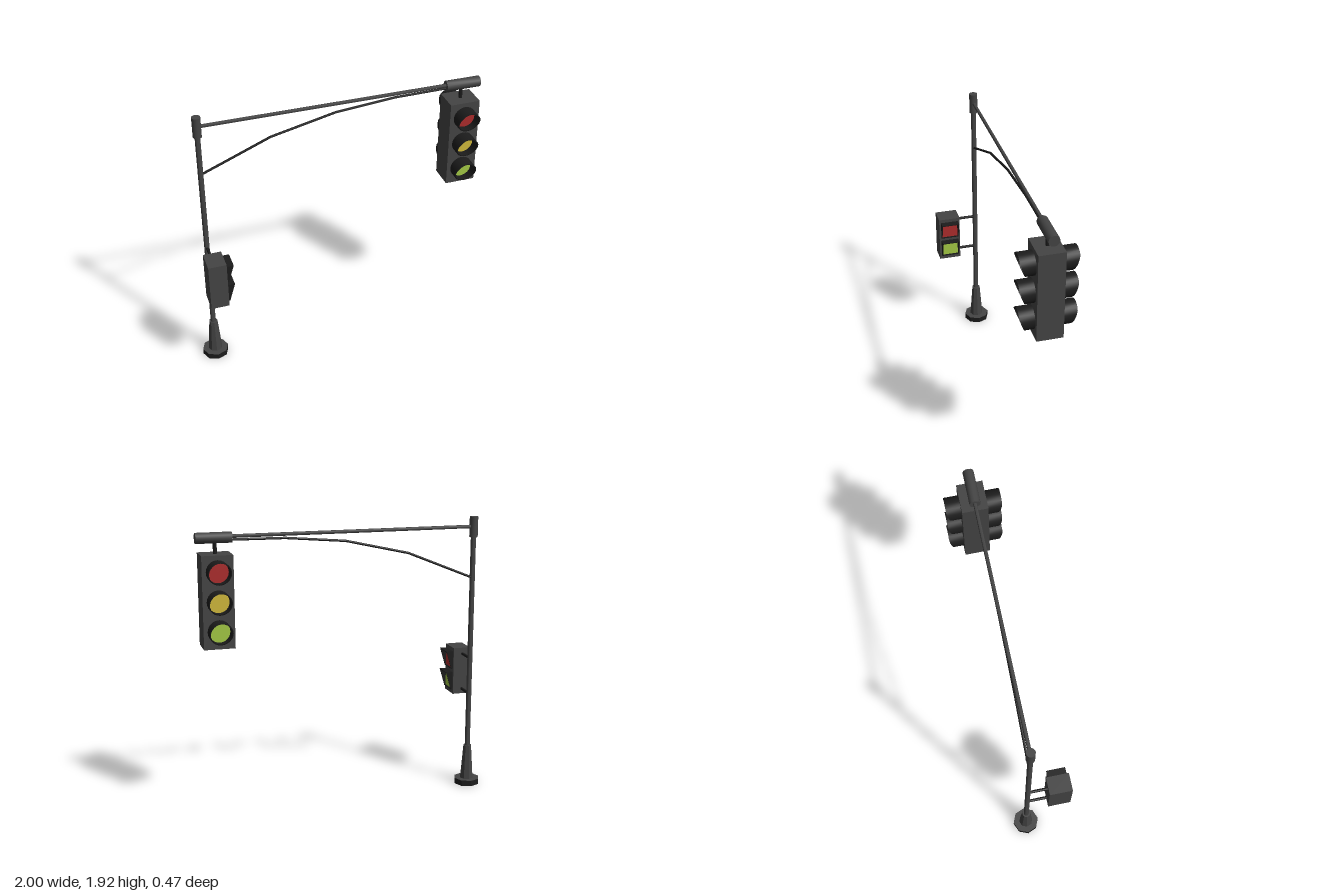
import * as THREE from 'three';
import { toCreasedNormals } from 'three/addons/utils/BufferGeometryUtils.js';

const mat = (name, color) => {
  const m = new THREE.MeshStandardMaterial({ color });
  m.name = name;
  return m;
};

export function createModel() {
  const grey = mat('metal grey', 0x444444);
  const black = mat('visor black', 0x1c1c1c);
  const red = mat('lamp red', 0xac2c2c);
  const yellow = mat('lamp yellow', 0xcfb83a);
  const green = mat('lamp green', 0xa2c844);

  const model = new THREE.Group();
  model.name = 'trafficLight';
  const PX = -0.91, PZ = -0.053; // pole axis

  function add(parent, name, geometry, material, x = 0, y = 0, z = 0) {
    const mesh = new THREE.Mesh(geometry, material);
    mesh.name = name;
    mesh.position.set(x, y, z);
    parent.add(mesh);
    return mesh;
  }

  // Upright round section of the post between two heights
  function post(name, y0, y1, rBottom, rTop, material, sides = 12, x = PX) {
    const g = toCreasedNormals(new THREE.CylinderGeometry(rTop, rBottom, y1 - y0, sides), 0.6);
    return add(model, name, g, material, x, (y0 + y1) / 2, PZ);
  }

  // Round bar between two points
  function rod(name, a, b, r, material, sides = 8) {
    const from = new THREE.Vector3(...a), to = new THREE.Vector3(...b);
    const g = toCreasedNormals(new THREE.CylinderGeometry(r, r, from.distanceTo(to), sides), 1);
    const mesh = add(model, name, g, material);
    mesh.position.copy(from).add(to).multiplyScalar(0.5);
    mesh.quaternion.setFromUnitVectors(new THREE.Vector3(0, 1, 0), to.sub(from).normalize());
    return mesh;
  }

  // Hollow hood along +z whose front edge follows depthAt(y)
  function hood(outer, inner, depthAt) {
    outer.holes.push(inner);
    const g = new THREE.ExtrudeGeometry(outer, { depth: 1, bevelEnabled: false, curveSegments: 12 });
    const p = g.attributes.position;
    for (let i = 0; i < p.count; i++) if (p.getZ(i) > 0.5) p.setZ(i, depthAt(p.getY(i)));
    g.computeVertexNormals();
    return toCreasedNormals(g, 0.6);
  }
  const circle = (r) => new THREE.Shape().absarc(0, 0, r, 0, Math.PI * 2, false);
  const square = (h) => new THREE.Shape([[-h, -h], [h, -h], [h, h], [-h, h]].map((c) => new THREE.Vector2(...c)));

  // Post
  post('basePlate', 0, 0.04, 0.09, 0.09, [black, grey, black], 8);
  post('baseCone', 0.04, 0.285, 0.048, 0.029, grey, 8);
  post('pole', 0.28, 1.8, 0.018, 0.018, grey);
  post('poleCap', 1.78, 1.92, 0.029, 0.029, grey);

  // Arm, end sleeve and curved brace
  rod('arm', [PX, 1.852, PZ], [0.8, 1.852, PZ], 0.012, grey);
  rod('armSleeve', [0.762, 1.846, PZ], [1, 1.846, PZ], 0.036, grey, 12);
  const brace = [[-0.905, 1.5], [-0.44, 1.69], [0, 1.79], [0.41, 1.826], [0.78, 1.83]];
  for (let i = 0; i < brace.length - 1; i++) {
    rod('brace', [...brace[i], PZ], [...brace[i + 1], PZ], 0.008, black);
  }

  // Main signal, with lamps on both faces
  const signal = new THREE.Group();
  signal.name = 'mainSignal';
  signal.position.set(0.873, 1.439, PZ);
  model.add(signal);
  add(signal, 'signalBox', new THREE.BoxGeometry(0.206, 0.61, 0.172), grey);
  post('signalHanger', 1.73, 1.83, 0.013, 0.013, black, 8, 0.873);

  const roundHood = hood(circle(0.077), circle(0.07),
    (y) => 0.098 - 0.042 * THREE.MathUtils.clamp((0.045 - y) / 0.12, 0, 1));
  const roundLens = new THREE.CircleGeometry(0.071, 24);
  for (const turn of [0, Math.PI]) {
    const face = new THREE.Group();
    face.name = turn ? 'backLamps' : 'frontLamps';
    face.rotation.y = turn;
    signal.add(face);
    [red, yellow, green].forEach((m, i) => {
      const y = 0.199 - i * 0.194;
      add(face, 'visor', roundHood, black, 0, y, 0.086);
      add(face, 'lamp', roundLens, m, 0, y, 0.09);
    });
  }

  // Pedestrian signal, facing +x beside the pole
  const walk = new THREE.Group();
  walk.name = 'pedestrianSignal';
  walk.position.set(-0.905, 0.8, 0.159);
  walk.rotation.y = Math.PI / 2;
  model.add(walk);
  add(walk, 'pedestrianBox', new THREE.BoxGeometry(0.155, 0.337, 0.122), grey);
  const squareHood = hood(square(0.064), square(0.058), (y) => 0.03 + y * 0.3);
  const squareLens = new THREE.PlaneGeometry(0.118, 0.118);
  [red, green].forEach((m, i) => {
    const y = 0.079 - i * 0.153;
    add(walk, 'pedestrianVisor', squareHood, black, 0, y, 0.061);
    add(walk, 'pedestrianLamp', squareLens, m, 0, y, 0.064);
  });
  for (const y of [0.925, 0.667]) rod('bracket', [PX, y, PZ], [PX, y, 0.09], 0.01, black);

  return model;
}
